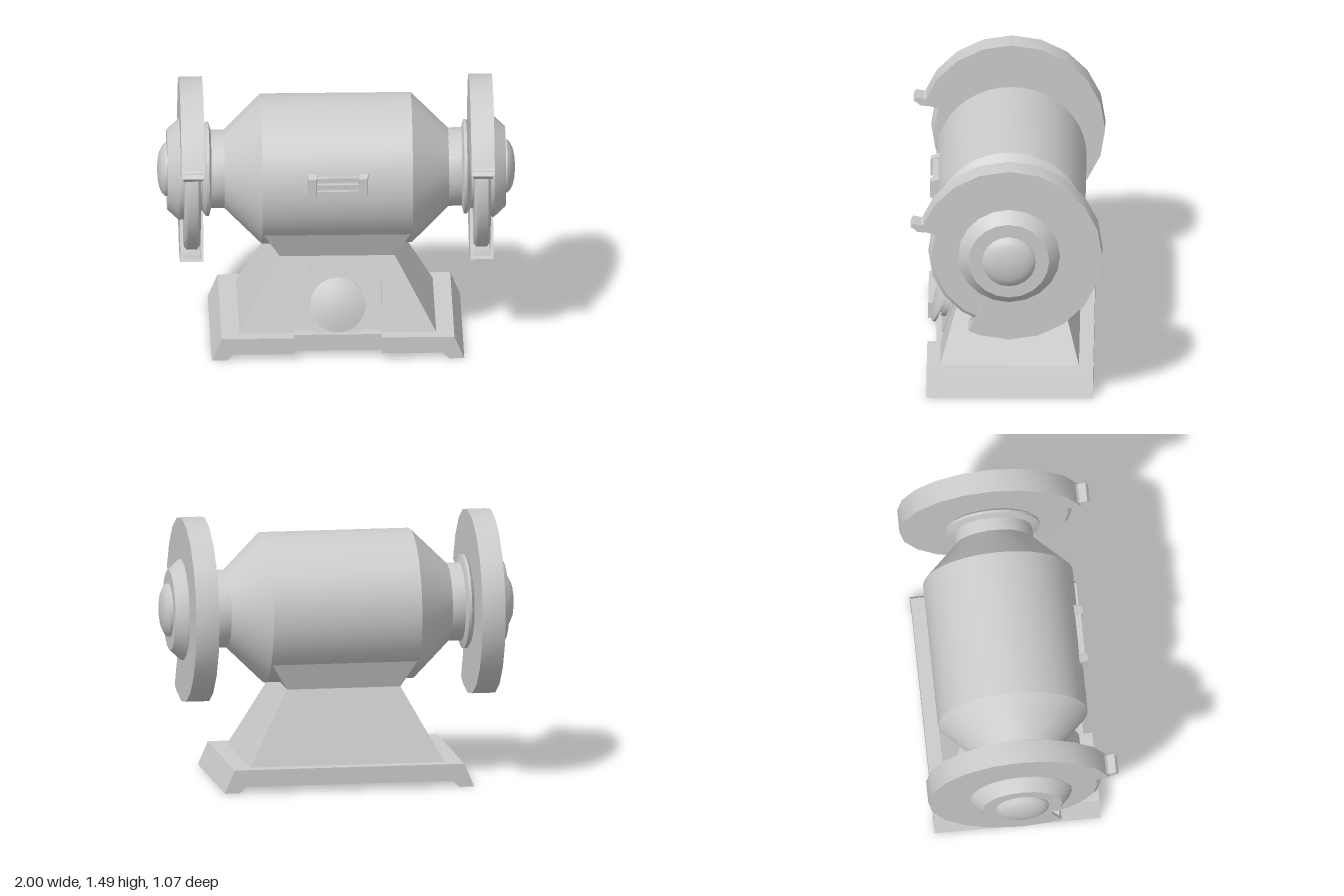
import * as THREE from 'three';
import { toCreasedNormals } from 'three/addons/utils/BufferGeometryUtils.js';

const AXIS_Y = 0.967, AXIS_Z = -0.013;
const material = new THREE.MeshStandardMaterial({ color: 0xcccccc });

export function createModel() {
  const model = new THREE.Group();

  const add = (name, geometry, parent = model) => {
    const mesh = new THREE.Mesh(toCreasedNormals(geometry, 0.5), material);
    mesh.name = name;
    parent.add(mesh);
    return mesh;
  };

  // Solid of revolution around the motor axis; profile is [x, radius] pairs
  const turned = (profile, segments, side = 1) => {
    const g = new THREE.LatheGeometry(profile.map(([x, r]) => new THREE.Vector2(r, x)), segments);
    g.rotateZ(-side * Math.PI / 2);
    return g.translate(0, AXIS_Y, AXIS_Z);
  };

  // Block whose bottom and top are different rectangles [x0, x1, z0, z1]
  const taper = (y0, y1, bottom, top) => {
    const g = new THREE.BoxGeometry(1, 1, 1);
    const p = g.attributes.position;
    for (let i = 0; i < p.count; i++) {
      const r = p.getY(i) > 0 ? top : bottom;
      p.setXYZ(i, p.getX(i) > 0 ? r[1] : r[0], p.getY(i) > 0 ? y1 : y0, p.getZ(i) > 0 ? r[3] : r[2]);
    }
    return g;
  };

  const prism = (points, depth) => new THREE.ExtrudeGeometry(
    new THREE.Shape(points.map(([x, y]) => new THREE.Vector2(x, y))), { depth, bevelEnabled: false });

  // Outline in (z, y), extruded along x around a middle position
  const sideways = (points, width, x) =>
    prism(points, width).rotateY(-Math.PI / 2).translate(x + width / 2, 0, 0);

  // Foot plate with runners at both ends and a notch at the front
  add('basePlate', prism([[-0.705, 0], [-0.62, 0], [-0.585, 0.035], [0.585, 0.035], [0.62, 0],
    [0.705, 0], [0.65, 0.13], [-0.65, 0.13]], 0.88).translate(0, 0, -0.48));
  for (const s of [-1, 1]) {
    const lip = [[0.245, 0.035], [0.585, 0.035], [0.62, 0], [0.705, 0], [0.65, 0.13], [0.245, 0.13]];
    add('basePlateFront', prism(lip.map(([x, y]) => [s * x, y]), 0.05).translate(0, 0, 0.4));
  }

  // Pedestal: two cheeks with a recessed channel between them
  const mirrorRect = ([x0, x1, z0, z1], s) => s > 0 ? [x0, x1, z0, z1] : [-x1, -x0, z0, z1];
  for (const s of [-1, 1]) {
    add('pedestalCheek', taper(0.13, 0.545,
      mirrorRect([0.245, 0.55, -0.4, 0.375], s), mirrorRect([0.245, 0.32, -0.28, 0.245], s)));
  }
  add('pedestalCentre', taper(0.13, 0.545, [-0.245, 0.245, -0.4, 0.335], [-0.245, 0.245, -0.28, 0.205]));
  add('saddle', taper(0.543, 0.71, [-0.32, 0.32, -0.28, 0.245], [-0.42, 0.42, -0.335, 0.31]));

  // Motor housing
  add('motorHousing', turned([[-0.63, 0], [-0.63, 0.215], [-0.42, 0.42],
    [0.42, 0.42], [0.63, 0.215], [0.63, 0]], 40));

  // Plate holder on the front of the housing
  const holder = new THREE.Group();
  holder.name = 'plateHolder';
  holder.position.set(0, 1.033, 0.385);
  model.add(holder);
  for (const s of [-1, 1]) {
    add('holderEnd', taper(-0.03, 0.05, [-0.033, 0.033, -0.073, 0.073], [-0.022, 0.022, -0.05, 0.05])
      .rotateX(Math.PI / 2).translate(s * 0.142, 0, 0), holder);
  }
  for (const y of [-0.04, 0, 0.04]) {
    add('holderRail', new THREE.BoxGeometry(0.25, 0.022, 0.05).translate(0, y, 0.012), holder);
  }

  // Switch, tilted to the slope of the pedestal
  const switchGroup = new THREE.Group();
  switchGroup.name = 'switch';
  switchGroup.position.set(0, 0.3, 0.38);
  switchGroup.rotation.x = -0.304;
  model.add(switchGroup);
  add('switchPlate', prism([[-0.135, -0.165], [0.135, -0.165], [0.155, 0.165], [-0.155, 0.165]], 0.05)
    .translate(0, 0, -0.11), switchGroup);
  for (const x of [-0.105, 0, 0.105]) {
    add('switchTab', new THREE.BoxGeometry(0.085, 0.03, 0.05).translate(x, 0.195, -0.085), switchGroup);
  }
  const button = [[0, -0.07], [0.11, -0.07], [0.11, -0.03], [0.095, -0.03], [0.095, -0.012],
    [0.155, -0.012], [0.155, 0.002], [0.1, 0.018], [0.05, 0.027], [0, 0.03]];
  add('switchButton', new THREE.LatheGeometry(button.map(([r, y]) => new THREE.Vector2(r, y)), 20)
    .rotateX(Math.PI / 2), switchGroup);

  // Guard outline: 20-sided arc, open towards the front
  const angles = [17];
  for (let a = 36; a <= 288; a += 18) angles.push(a);
  angles.push(296);
  const arc = (r) => angles.map((a) => {
    const t = THREE.MathUtils.degToRad(a);
    return [AXIS_Z + r * Math.cos(t), AXIS_Y + r * Math.sin(t)];
  });
  const band = (inner, outer) => [...arc(outer), ...arc(inner).reverse()];

  // Grinding heads on both ends of the shaft
  for (const s of [-1, 1]) {
    const head = new THREE.Group();
    head.name = s > 0 ? 'leftGrinder' : 'rightGrinder';
    model.add(head);
    add('shaftCollar', turned([[0.6, 0], [0.6, 0.22], [0.7, 0.22], [0.712, 0.265],
      [0.728, 0.265], [0.75, 0.235], [0.77, 0.235], [0.77, 0]], 20, s), head);
    add('grindingWheel', turned([[0.765, 0], [0.765, 0.43], [0.78, 0.45],
      [0.84, 0.45], [0.855, 0.43], [0.855, 0]], 20, s), head);
    add('guardRim', sideways(band(0.5, 0.52), 0.13, s * 0.81), head);
    for (const x of [0.753, 0.867]) {
      add('guardSide', sideways(band(0.2, 0.518), 0.016, s * x), head);
    }
    // Spark deflector at the upper edge of the opening
    add('sparkDeflector', sideways([[0.44, 1.103], [0.5, 1.107], [0.512, 1.122], [0.537, 1.137],
      [0.522, 1.157], [0.48, 1.147], [0.45, 1.165], [0.43, 1.16]], 0.11, s * 0.81), head);
    add('hubCover', turned([[0.85, 0], [0.85, 0.285], [0.88, 0.285], [0.945, 0.225], [0.945, 0]], 20, s), head);
    add('hubCap', turned([[0.94, 0.15], [0.955, 0.15], [0.973, 0.132], [0.988, 0.1],
      [0.997, 0.055], [1, 0]], 20, s), head);
  }
  return model;
}
